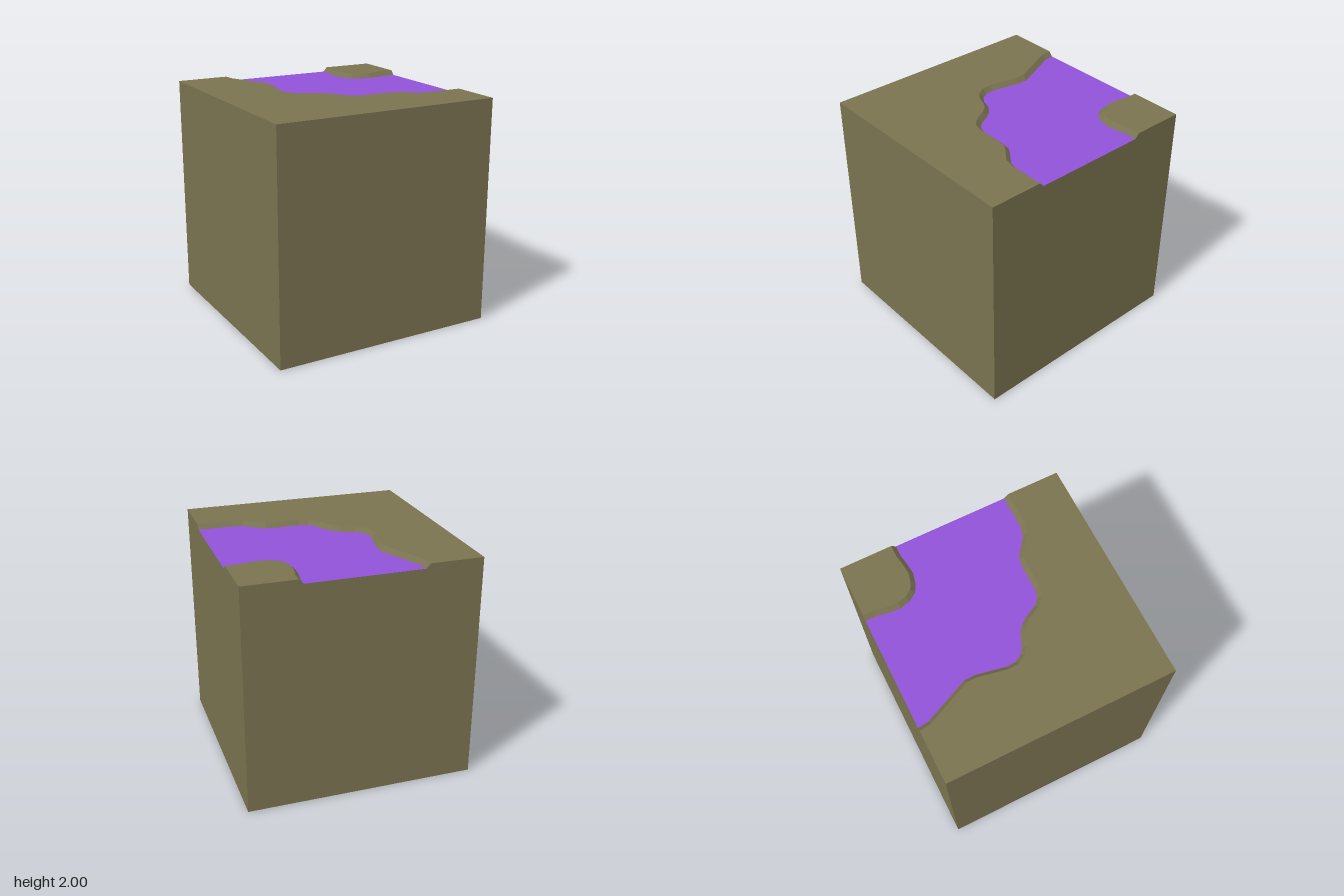
import * as THREE from 'three';

const BED = 1.96, TOP = 2, BANK = 0.037;

// Shorelines on the bed as [x, z], each with land on its right-hand side
const mainShore = [
  [-0.5, -1], [-0.49, -0.91], [-0.31, -0.51], [-0.31, -0.41], [-0.36, -0.16], [-0.355, -0.08],
  [-0.32, -0.02], [-0.27, 0.02], [-0.16, 0.06], [-0.1, 0.105], [-0.05, 0.17], [0.005, 0.275],
  [0.055, 0.325], [0.13, 0.345], [0.34, 0.345], [0.435, 0.355], [0.49, 0.39], [0.61, 0.48],
  [0.7, 0.5], [1, 0.5],
];
const cornerShore = [
  [1, -0.505], [0.9, -0.505], [0.81, -0.49], [0.715, -0.48], [0.62, -0.5], [0.545, -0.54],
  [0.495, -0.615], [0.475, -0.7], [0.48, -0.8], [0.5, -0.91], [0.5, -1],
];

// Mitred offset of a shoreline towards the land; its ends stay on the block's edge
function offsetShore(shore, dist) {
  const pts = shore.map(([x, z]) => new THREE.Vector2(x, z));
  const normal = (a, b) => new THREE.Vector2(a.y - b.y, b.x - a.x).normalize();
  return pts.map((p, i) => {
    const n0 = normal(pts[Math.max(i - 1, 0)], pts[Math.max(i, 1)]);
    const last = pts.length - 1;
    const n1 = normal(pts[Math.min(i, last - 1)], pts[Math.min(i + 1, last)]);
    const m = n0.clone().add(n1).normalize();
    const q = p.clone().addScaledVector(m, dist / m.dot(n0));
    if (Math.abs(p.x) === 1) q.x = p.x;
    if (Math.abs(p.y) === 1) q.y = p.y;
    return [q.x, q.y];
  });
}

// Flat upward-facing polygon at height y
function cap(loop, y) {
  const shape = new THREE.Shape(loop.map(([x, z]) => new THREE.Vector2(x, -z)));
  return new THREE.ShapeGeometry(shape).rotateX(-Math.PI / 2).translate(0, y, 0);
}

// Flat-shaded wall between two matching closed loops, clockwise from above
function wall(low, y0, high, y1) {
  const pos = [];
  low.forEach((p, i) => {
    const j = (i + 1) % low.length;
    const a = [p[0], y0, p[1]], b = [low[j][0], y0, low[j][1]];
    const c = [high[i][0], y1, high[i][1]], d = [high[j][0], y1, high[j][1]];
    pos.push(...a, ...c, ...b, ...c, ...d, ...b);
  });
  const geo = new THREE.BufferGeometry();
  geo.setAttribute('position', new THREE.Float32BufferAttribute(pos, 3));
  geo.computeVertexNormals();
  return geo;
}

export function createModel() {
  const model = new THREE.Group();
  const earth = new THREE.MeshStandardMaterial({ color: 0x7a7350 });
  earth.name = 'earth brown';
  const liquid = new THREE.MeshStandardMaterial({ color: 0x9153d8 });
  liquid.name = 'liquid purple';

  const add = (name, geo, mat, parent = model) => {
    const mesh = new THREE.Mesh(geo, mat);
    mesh.name = name;
    parent.add(mesh);
  };

  // Block below the river bed
  const square = [[1, 1], [-1, 1], [-1, -1], [1, -1]];
  add('blockSides', wall(square, 0, square, BED), earth);
  add('blockBottom', new THREE.PlaneGeometry(2, 2).rotateX(Math.PI / 2), earth);

  // Raised land with sloping banks
  const addLand = (name, shore, corners) => {
    const land = new THREE.Group();
    land.name = name;
    const low = [...shore, ...corners];
    const high = [...offsetShore(shore, BANK), ...corners];
    add(name + 'Bank', wall(low, BED, high, TOP), earth, land);
    add(name + 'Top', cap(high, TOP), earth, land);
    model.add(land);
  };
  addLand('mainLand', mainShore, [[1, 1], [-1, 1], [-1, -1]]);
  addLand('cornerLand', cornerShore, [[1, -1]]);

  // Liquid filling the bed between the two shores
  add('liquidSurface', cap([...mainShore, ...cornerShore], BED), liquid);

  return model;
}
